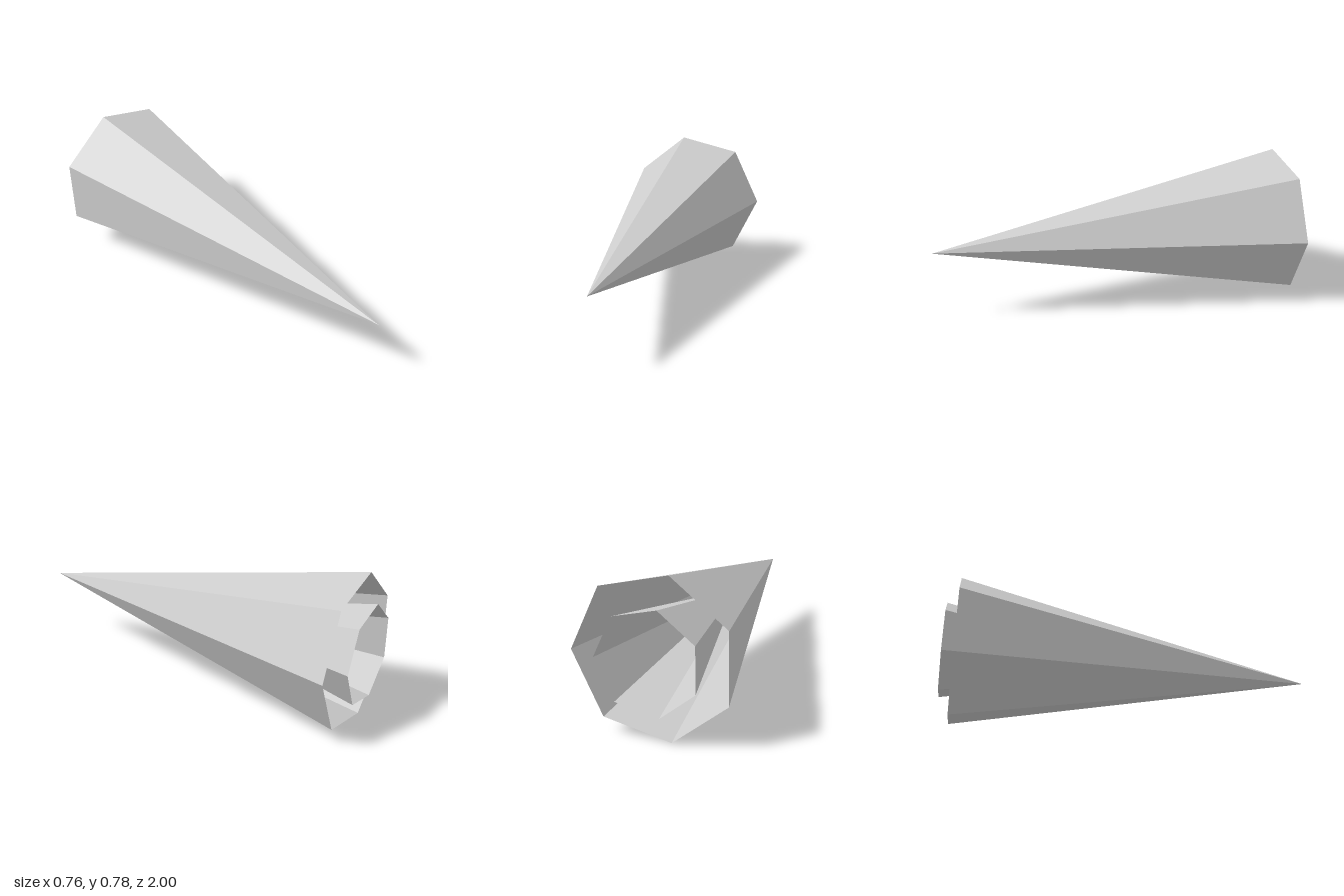
import * as THREE from 'three';

const SIDES = 7;
const AXIS_X = -0.02, AXIS_Y = 0.39;
const SLOPE = 0.4 / 1.94; // radius per unit of length, shared by both shells

export function createModel() {
  const model = new THREE.Group();
  model.name = 'nestedCones';

  const grey = new THREE.MeshStandardMaterial({ color: 0xcccccc, flatShading: true, side: THREE.DoubleSide });
  grey.name = 'light grey';

  // Open seven-sided cone pointing to +z, with one corner on +x
  function addCone(name, radius, backZ) {
    const length = radius / SLOPE;
    const geometry = new THREE.ConeGeometry(radius, length, SIDES, 1, true, Math.PI / 2);
    geometry.rotateX(Math.PI / 2);
    const cone = new THREE.Mesh(geometry, grey);
    cone.name = name;
    cone.position.set(AXIS_X, AXIS_Y, backZ + length / 2);
    model.add(cone);
  }

  addCone('outerShell', 0.4, -0.94);
  addCone('innerShell', 0.256, -1); // sticks out slightly at the back

  return model;
}
